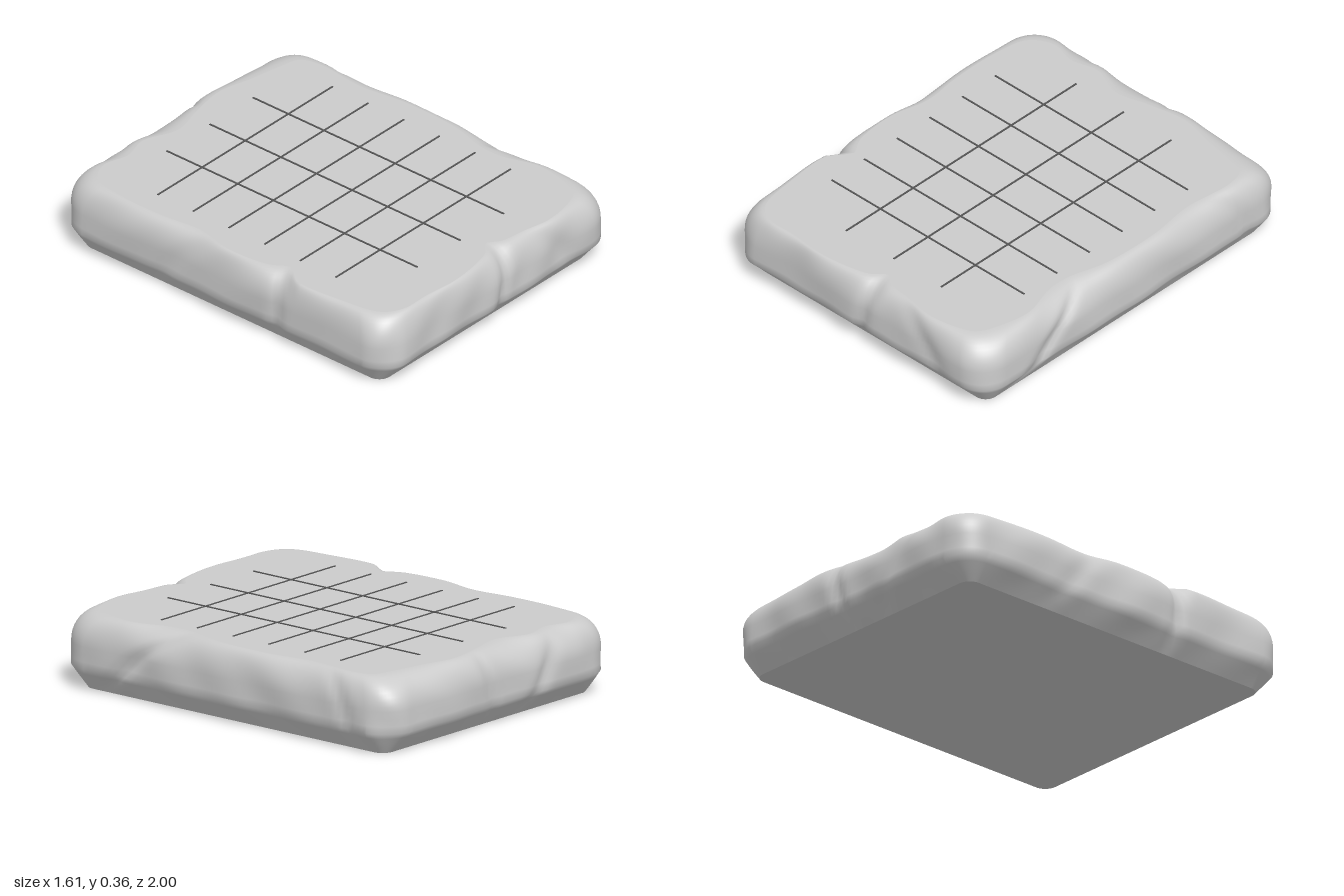
import * as THREE from 'three';

const TOP = 0.352, TILT = -0.014;
const SIDE = 50, CORNER = 16; // steps along each edge and each corner

// Closed outline of a rounded rectangle, counter-clockwise seen from above
function roundedOutline(hx, hz, r) {
  const pts = [];
  const corners = [[1, 1], [1, -1], [-1, -1], [-1, 1]];
  corners.forEach(([sx, sz], k) => {
    const cx = sx * (hx - r), cz = sz * (hz - r), start = Math.PI / 2 - k * Math.PI / 2;
    for (let i = 0; i <= CORNER; i++) {
      const a = start - (i / CORNER) * Math.PI / 2;
      pts.push(new THREE.Vector2(cx + r * Math.cos(a), cz + r * Math.sin(a)));
    }
    const [nx, nz] = corners[(k + 1) % 4];
    const a = pts[pts.length - 1].clone();
    const e = start - Math.PI / 2;
    const b = new THREE.Vector2(nx * (hx - r) + r * Math.cos(e), nz * (hz - r) + r * Math.sin(e));
    for (let i = 1; i < SIDE; i++) pts.push(a.clone().lerp(b, i / SIDE));
  });
  return pts;
}

// Chipped rim of the flat top: x, z pairs
const RIM = [
  [-0.69, 0.87], [-0.6, 0.93], [-0.45, 0.935], [-0.28, 0.95], [-0.1, 0.93], [0, 0.9], [0.06, 0.85],
  [0.12, 0.89], [0.25, 0.91], [0.4, 0.935], [0.56, 0.91], [0.64, 0.87], [0.69, 0.75], [0.71, 0.6],
  [0.66, 0.42], [0.66, 0.3], [0.71, 0.1], [0.72, -0.2], [0.69, -0.45], [0.71, -0.7], [0.68, -0.8],
  [0.58, -0.83], [0.42, -0.86], [0.24, -0.9], [0.05, -0.87], [-0.13, -0.83], [-0.3, -0.89],
  [-0.44, -0.86], [-0.57, -0.89], [-0.68, -0.83], [-0.72, -0.65], [-0.72, -0.4], [-0.7, -0.2],
  [-0.74, 0], [-0.72, 0.22], [-0.67, 0.32], [-0.74, 0.4], [-0.735, 0.65],
];

// Slanting dents in the sides: axis along the edge, side sign, centre, slope, width, depth
const DENTS = [
  ['x', 1, 0.03, 0.2, 0.035, 0.02], ['x', 1, 0.45, -0.8, 0.07, 0.015],
  ['x', -1, 0.07, 0.3, 0.03, 0.018], ['x', -1, -0.3, -0.7, 0.05, 0.015],
  ['z', 1, 0.55, -1.2, 0.05, 0.025], ['z', 1, -0.72, 0.4, 0.04, 0.02],
  ['z', -1, 0.33, 0.1, 0.03, 0.02], ['z', -1, -0.3, 0.8, 0.07, 0.015],
];

function roughness(x, y, z) {
  let d = 0.006 * Math.sin(9 * x + 6 * y + 1) * Math.cos(8 * z - 7 * y)
        + 0.004 * Math.sin(21 * x - 13 * y + 17 * z);
  for (const [axis, sign, centre, slope, width, depth] of DENTS) {
    const along = axis === 'x' ? x : z;
    const out = sign * (axis === 'x' ? z / 0.985 : x / 0.79);
    if (out < 0.8) continue;
    const t = (along - centre - slope * (y - 0.18)) / width;
    d -= depth * Math.exp(-t * t);
  }
  return d;
}

// Flat cap over an outline, facing up or down
function capGeometry(outline, y, up) {
  const g = new THREE.ShapeGeometry(new THREE.Shape(outline.map(p => new THREE.Vector2(p.x, up ? -p.y : p.y))));
  g.rotateX(up ? -Math.PI / 2 : Math.PI / 2);
  return g.translate(0, y, 0);
}

export function createModel() {
  const model = new THREE.Group();
  model.name = 'stoneSlab';
  const stone = new THREE.MeshStandardMaterial({ color: 0xcccccc });
  const dark = new THREE.MeshStandardMaterial({ color: 0x555555 });
  const add = (geometry, name, material = stone) => {
    const mesh = new THREE.Mesh(geometry, material);
    mesh.name = name;
    model.add(mesh);
    return mesh;
  };

  // Outlines of the foot, the widest part and the top
  const foot = roundedOutline(0.72, 0.895, 0.06);
  const belly = roundedOutline(0.79, 0.985, 0.15);
  const n = belly.length;
  const rimSamples = new THREE.CatmullRomCurve3(RIM.map(([x, z]) => new THREE.Vector3(x, 0, z)), true)
    .getSpacedPoints(1500);
  const rim = belly.map(p => {
    const dir = p.clone().normalize();
    let best = null, bestDot = -2;
    for (const s of rimSamples) {
      const dot = (s.x * dir.x + s.z * dir.y) / Math.hypot(s.x, s.z);
      if (dot > bestDot) { bestDot = dot; best = s; }
    }
    return new THREE.Vector2(best.x, best.z);
  });

  // Side wall: bevelled foot, upright belly, shoulder rounding over to the rim
  const rows = [];
  for (let k = 0; k <= 4; k++) rows.push({ from: foot, to: belly, t: k / 4, y: 0.105 * k / 4, rough: k / 4 });
  for (let k = 1; k <= 3; k++) rows.push({ from: belly, to: belly, t: 0, y: 0.105 + 0.035 * k, rough: 1 });
  for (let k = 1; k <= 10; k++) {
    const a = (k / 10) * Math.PI / 2;
    rows.push({ from: belly, to: rim, t: 1 - Math.cos(a), y: 0.21 + (TOP - 0.21) * Math.sin(a), rough: Math.cos(a) });
  }
  const positions = [], index = [];
  rows.forEach(({ from, to, t, y, rough }, j) => {
    for (let i = 0; i < n; i++) {
      const p = from[i].clone().lerp(to[i], t);
      const push = rough * roughness(belly[i].x, y, belly[i].y);
      p.addScaledVector(p.clone().normalize(), push);
      positions.push(p.x, y, p.y);
      if (j === 0) continue;
      const i2 = (i + 1) % n, a = (j - 1) * n + i, b = (j - 1) * n + i2, c = j * n + i2, d = j * n + i;
      index.push(a, b, c, a, c, d);
    }
  });
  const wall = new THREE.BufferGeometry();
  wall.setAttribute('position', new THREE.Float32BufferAttribute(positions, 3));
  wall.setIndex(index);
  wall.computeVertexNormals();
  add(wall, 'chippedSide');
  add(capGeometry(rim, TOP, true), 'topFace');
  add(capGeometry(foot, 0, false), 'bottomFace');

  // Thin grid lines on the top
  for (let i = 0; i < 3; i++) {
    add(new THREE.BoxGeometry(0.008, 0.008, 1.5), 'lengthwiseLine', dark).position.set((i - 1) * 0.298, TOP, 0);
  }
  for (let i = 0; i < 6; i++) {
    add(new THREE.BoxGeometry(1.21, 0.007, 0.008), 'crosswiseLine', dark).position.set(0, TOP, (i - 2.5) * 0.213 - 0.006);
  }

  // The slab lies slightly turned
  model.rotation.y = TILT;
  const root = new THREE.Group();
  root.name = 'slab';
  root.add(model);
  return root;
}
